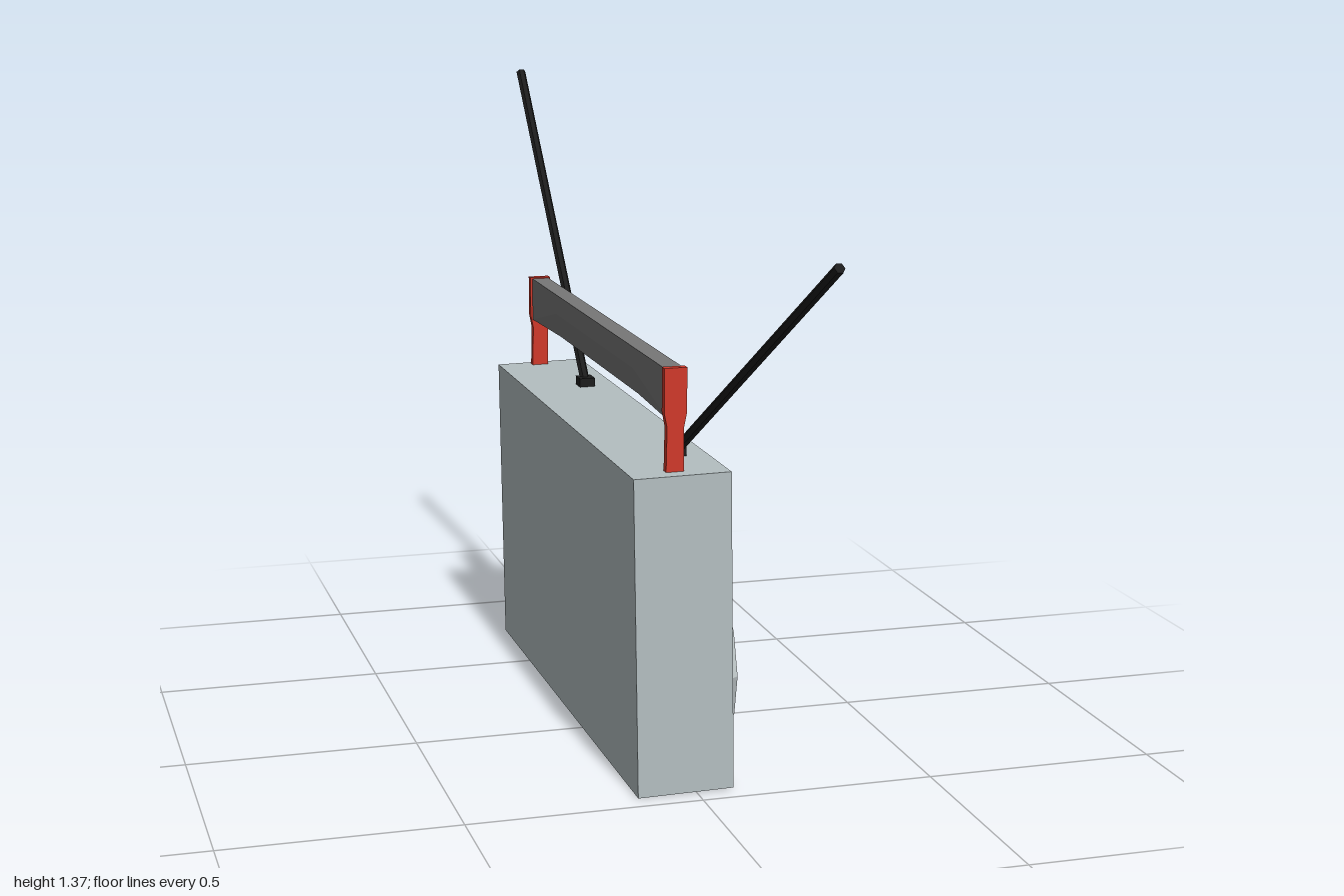
import * as THREE from 'three';

const mat = (color) => new THREE.MeshStandardMaterial({ color, flatShading: true });
const SILVER = mat(0xb4bfc1), LIGHT = mat(0xc6cfd1), GREY = mat(0x8f9090), DARK_GREY = mat(0x777777);
const BLACK = mat(0x1c1c1c), CONE = mat(0x282828), BLUE = mat(0x7d94a3), PALE_BLUE = mat(0xa5b9c5);
const RED = mat(0xd0392b), WHITE = mat(0xdfe3e4);
const FACE = 0.08; // depth of the cabinet's front panel

function add(parent, name, geometry, material) {
  const mesh = new THREE.Mesh(geometry, material);
  mesh.name = name;
  parent.add(mesh);
  return mesh;
}

// Box given by its limits
function box(parent, name, x0, x1, y0, y1, z0, z1, material) {
  const m = add(parent, name, new THREE.BoxGeometry(x1 - x0, y1 - y0, z1 - z0), material);
  m.position.set((x0 + x1) / 2, (y0 + y1) / 2, (z0 + z1) / 2);
  return m;
}

// Thin plate lying on the front panel
const plate = (parent, name, x0, x1, y0, y1, h, material) =>
  box(parent, name, x0, x1, y0, y1, FACE - 0.004, FACE + h, material);

// Turned part standing on the front panel, profile as [radius, height]
function turned(parent, name, x, y, profile, sides, material) {
  const g = new THREE.LatheGeometry(profile.map(([r, h]) => new THREE.Vector2(r, h)), sides);
  g.rotateX(Math.PI / 2);
  const m = add(parent, name, g, material);
  m.position.set(x, y, FACE);
  return m;
}

function speaker(parent, name, x, y, r, h, sides) {
  const g = new THREE.Group();
  g.name = name;
  parent.add(g);
  const scale = (p) => p.map(([a, b]) => [a * r, b * h]);
  turned(g, 'speakerRim', x, y, scale([[1, 0], [1, 0.18], [0.95, 0.42], [0.91, 0.42]]), sides, LIGHT);
  turned(g, 'speakerInnerRim', x, y, scale([[0.91, 0.42], [0.87, 0.36]]), sides, BLUE);
  turned(g, 'speakerSurround', x, y,
    scale([[0.9, 0.3], [0.87, 0.46], [0.78, 0.56], [0.72, 0.52]]), sides, BLACK);
  turned(g, 'speakerCone', x, y, scale([[0.72, 0.52], [0.5, 0.74], [0.26, 0.76]]), sides, CONE);
  turned(g, 'speakerCap', x, y, scale([[0.26, 0.74], [0.24, 0.96], [0.14, 1], [0, 1]]), sides, BLACK);
}

function knob(parent, name, x, y, r, h, material) {
  turned(parent, name, x, y, [[r, 0], [r, h * 0.75], [r * 0.8, h], [0, h]], 10, material);
}

// Straight rod between two points
function rod(parent, name, from, to, r, material) {
  const dir = to.clone().sub(from);
  const m = add(parent, name, new THREE.CylinderGeometry(r, r, dir.length(), 6), material);
  m.position.copy(from).addScaledVector(dir, 0.5);
  m.quaternion.setFromUnitVectors(new THREE.Vector3(0, 1, 0), dir.normalize());
}

function buildDeck(p) {
  // Display strip and level meter
  plate(p, 'displayStrip', -0.104, 0.42, 0.576, 0.645, 0.006, BLACK);
  plate(p, 'levelMeter', 0.045, 0.282, 0.508, 0.566, 0.008, BLACK);
  const lamps = [0x3f8f4a, 0x3f8f4a, 0x55a04a, 0x7fae45, 0xd6c034, 0xe0b02c, 0xe07a2a, 0xd0392b].map(mat);
  lamps.forEach((m, i) => {
    for (const y of [0.516, 0.54])
      plate(p, 'meterLamp', 0.064 + i * 0.026, 0.083 + i * 0.026, y, y + 0.019, 0.012, m);
  });

  // Centre panel and its grey side strips
  plate(p, 'centrePanel', 0.035, 0.292, 0.04, 0.57, 0.003, LIGHT);
  for (const x of [-0.02, 0.292]) plate(p, 'sideStrip', x, x + 0.054, 0.004, 0.57, 0.006, GREY);

  // Tuner scale and push buttons
  plate(p, 'tunerScale', 0.046, 0.282, 0.456, 0.497, 0.006, BLUE);
  plate(p, 'tunerLowerBand', 0.046, 0.282, 0.43, 0.45, 0.006, PALE_BLUE);
  for (let i = 0; i < 8; i++) {
    const x = 0.048 + i * 0.0295;
    plate(p, 'pushButton', x, x + 0.024, 0.405, 0.422, 0.014, WHITE);
    plate(p, 'lowerButton', x, x + 0.024, 0.062, 0.078, 0.012, WHITE);
  }

  // Cassette door with two reels
  plate(p, 'doorTop', 0.046, 0.282, 0.355, 0.396, 0.008, GREY);
  plate(p, 'doorLatch', 0.135, 0.195, 0.382, 0.4, 0.014, BLACK);
  plate(p, 'cassetteWindow', 0.046, 0.282, 0.245, 0.345, 0.008, BLUE);
  plate(p, 'tapeSlot', 0.14, 0.188, 0.28, 0.322, 0.01, DARK_GREY);
  for (const x of [0.11, 0.218]) {
    const reel = add(p, 'reel', new THREE.TorusGeometry(0.032, 0.006, 4, 12), WHITE);
    reel.position.set(x, 0.3, FACE + 0.009);
    knob(p, 'reelHub', x, 0.3, 0.014, 0.012, PALE_BLUE);
  }
  plate(p, 'doorBottom', 0.046, 0.282, 0.222, 0.238, 0.008, PALE_BLUE);
  plate(p, 'lowerPanel', 0.046, 0.282, 0.13, 0.214, 0.007, GREY);
  plate(p, 'lowerScale', 0.046, 0.282, 0.09, 0.122, 0.007, BLUE);

  // Knobs, mirrored about the deck's centre
  for (const s of [-1, 1]) {
    const cx = 0.163;
    turned(p, 'knobCollar', cx + s * 0.204, 0.5, [[0.04, 0], [0.04, 0.008], [0.03, 0.008]], 12, DARK_GREY);
    knob(p, 'largeKnob', cx + s * 0.204, 0.5, 0.035, 0.034, WHITE);
    for (const y of [0.228, 0.298]) {
      turned(p, 'knobCollar', cx + s * 0.155, y, [[0.024, 0], [0.024, 0.01], [0.015, 0.01]], 10, DARK_GREY);
      knob(p, 'smallKnob', cx + s * 0.155, y, 0.019, 0.026, WHITE);
    }
    knob(p, 'toggle', cx + s * 0.152, 0.383, 0.011, 0.024, BLACK);
  }
}

function buildHandle(p) {
  const g = new THREE.Group();
  g.name = 'handle';
  p.add(g);
  // Grip, its lower edges chamfered between the ends
  const grip = new THREE.BoxGeometry(1.13, 0.1, 0.04, 5, 2, 1);
  const pos = grip.attributes.position;
  const stops = [-0.565, -0.33, -0.11, 0.11, 0.33, 0.565];
  for (let i = 0; i < pos.count; i++) {
    const k = Math.round((pos.getX(i) / 1.13 + 0.5) * 5);
    const inner = k > 0 && k < 5;
    pos.setX(i, stops[k]);
    if (pos.getY(i) < -0.01 && inner) pos.setZ(i, pos.getZ(i) * 0.45);
    else if (Math.abs(pos.getY(i)) < 0.01) pos.setY(i, inner ? 0.005 : -0.045);
  }
  add(g, 'grip', grip, DARK_GREY).position.set(0.16, 0.839, -0.037);

  // Uprights: narrower foot widening into the grip end
  const shape = new THREE.Shape([[-0.058, 0.67], [-0.02, 0.67], [-0.02, 0.77], [-0.014, 0.8], [-0.014, 0.892],
    [-0.062, 0.892], [-0.062, 0.8], [-0.056, 0.77]].map(([a, b]) => new THREE.Vector2(a, b)));
  for (const x of [-0.42, 0.722]) {
    const leg = new THREE.ExtrudeGeometry(shape, { depth: 0.018, bevelEnabled: false });
    leg.rotateY(-Math.PI / 2); // shape x becomes depth
    add(g, 'handleUpright', leg, RED).position.x = x + 0.018;
  }
}

export function createModel() {
  const model = new THREE.Group();
  model.name = 'portableStereo';

  // Working frame: front panel toward local +z, turned to face the model's left
  const stereo = new THREE.Group();
  stereo.name = 'stereo';
  stereo.rotation.y = Math.PI / 2;
  model.add(stereo);

  // Cabinet leans back very slightly
  const cabinet = new THREE.Group();
  cabinet.name = 'cabinet';
  cabinet.rotation.x = -0.0147;
  cabinet.position.y = 0.002;
  stereo.add(cabinet);
  box(cabinet, 'case', -0.455, 0.755, 0, 0.676, -0.126, FACE, SILVER);

  speaker(cabinet, 'leftWoofer', -0.233, 0.226, 0.188, 0.057, 12);
  speaker(cabinet, 'rightWoofer', 0.555, 0.218, 0.184, 0.057, 12);
  speaker(cabinet, 'leftTweeter', -0.28, 0.55, 0.1, 0.038, 12);
  speaker(cabinet, 'rightTweeter', 0.597, 0.551, 0.097, 0.038, 12);
  buildDeck(cabinet);
  buildHandle(stereo);

  // Aerials on small pivot blocks
  const V = (x, y, z) => new THREE.Vector3(x, y, z);
  for (const [from, to] of [
    [V(-0.275, 0.685, 0.005), V(-0.992, 1.178, 0.095)],
    [V(0.452, 0.685, 0.003), V(0.988, 1.363, -0.018)],
  ]) {
    rod(stereo, 'aerial', from, to, 0.011, BLACK);
    box(stereo, 'aerialPivot', from.x - 0.02, from.x + 0.02, 0.67, 0.698, from.z - 0.018, from.z + 0.018, BLACK);
  }
  return model;
}
